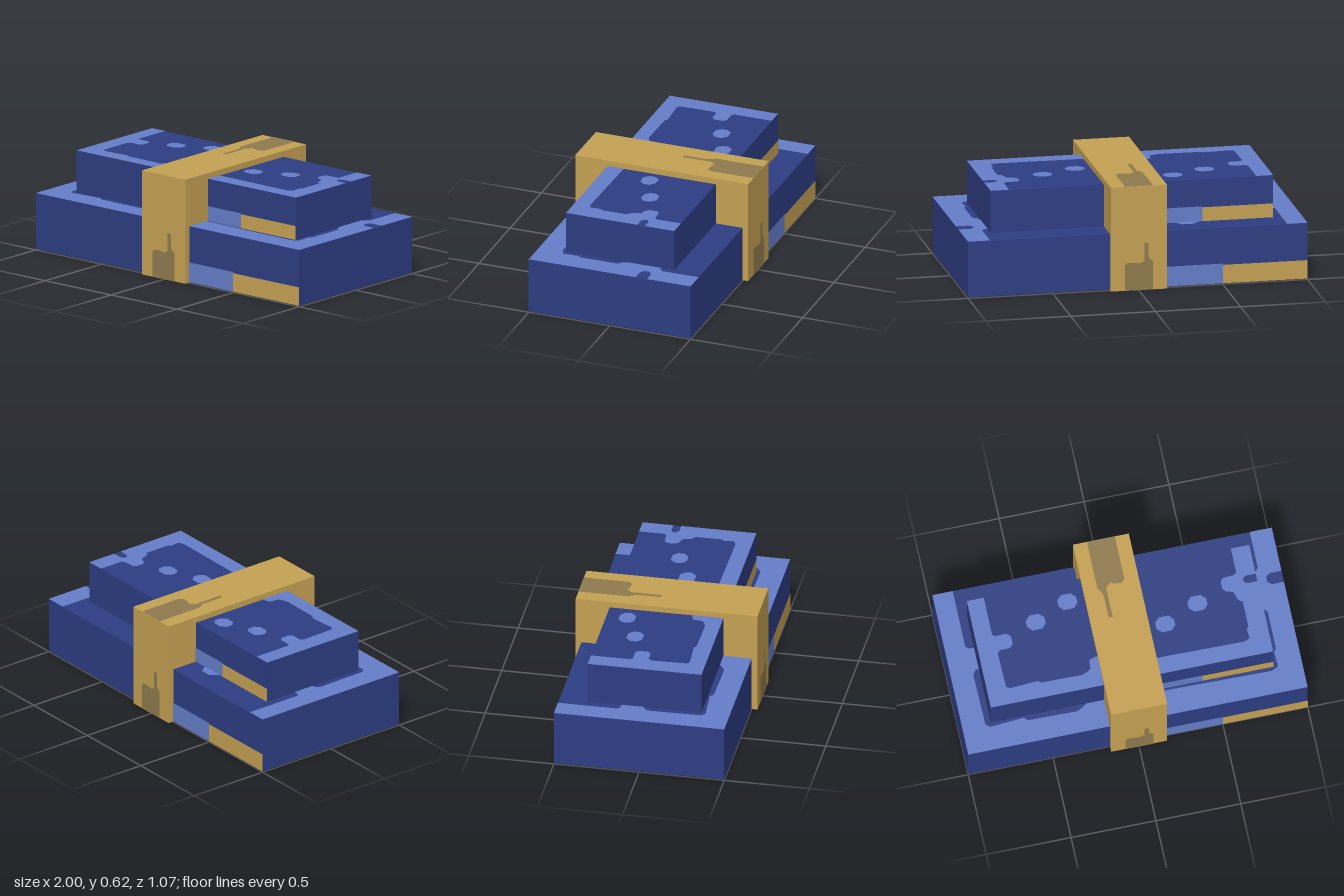
import * as THREE from 'three';

const mat = (name, color) => {
  const m = new THREE.MeshStandardMaterial({ color });
  m.name = name;
  return m;
};

// Local x, y and outward normal of each decorated face
const V = (x, y, z) => new THREE.Vector3(x, y, z);
const BASIS = {
  front: [V(1, 0, 0), V(0, 1, 0), V(0, 0, 1)],
  back: [V(-1, 0, 0), V(0, 1, 0), V(0, 0, -1)],
  top: [V(-1, 0, 0), V(0, 0, 1), V(0, 1, 0)],
  bottom: [V(-1, 0, 0), V(0, 0, -1), V(0, -1, 0)],
};

// Flat decoration: points run -1..1 across the face of a block
function decal(name, points, material, face, block) {
  const { w, h, d, y } = block;
  const flat = face === 'top' || face === 'bottom';
  const half = flat ? d / 2 : h / 2;
  const shape = new THREE.Shape(points.map(([u, v]) => new THREE.Vector2(u * w / 2, v * half)));
  const geo = new THREE.ShapeGeometry(shape);
  geo.translate(0, 0, (flat ? h / 2 : d / 2) + 0.002);
  geo.applyMatrix4(new THREE.Matrix4().makeBasis(...BASIS[face]));
  const mesh = new THREE.Mesh(geo, material);
  mesh.name = name;
  mesh.position.y = y + h / 2;
  return mesh;
}

function blockMesh(name, { w, h, d, y }, material) {
  const mesh = new THREE.Mesh(new THREE.BoxGeometry(w, h, d), material);
  mesh.name = name;
  mesh.position.y = y + h / 2;
  return mesh;
}

const rect = (u0, v0, u1, v1) => [[u0, v0], [u1, v0], [u1, v1], [u0, v1]];

// Rounded spot
const spot = (u, v, ru = 0.067, rv = 0.14) =>
  [[-1, -0.4], [-0.5, -1], [0.5, -1], [1, -0.4], [1, 0.4], [0.5, 1], [-0.5, 1], [-1, 0.4]]
    .map(([a, b]) => [u + a * ru, v + b * rv]);

// Uneven border round three sides of a top face, as x, z
const BORDER = [
  [-1, -1], [-0.88, -1], [-0.88, -0.3], [-0.86, -0.27], [-0.78, -0.27], [-0.755, -0.21],
  [-0.755, -0.06], [-0.78, 0], [-0.85, 0], [-0.87, 0.05], [-0.865, 0.68], [-0.84, 0.72],
  [-0.64, 0.69], [-0.62, 0.73], [-0.33, 0.74], [-0.29, 0.7], [-0.265, 0.66], [-0.26, 0.5],
  [-0.22, 0.46], [0, 0.46], [0, 0.7], [0.2, 0.7], [0.82, 0.72], [0.86, 0.68],
  [0.855, 0.5], [0.87, 0.46], [0.87, 0], [0.84, -0.05], [0.82, -0.21], [0.77, -0.25],
  [0.75, -0.31], [0.75, -0.44], [0.77, -0.5], [0.85, -0.51], [0.87, -0.55], [0.87, -1],
  [1, -1], [1, -0.46], [0.93, -0.46], [0.905, -0.42], [0.905, -0.36], [0.93, -0.32],
  [1, -0.32], [1, 1], [-1, 1],
];
const SPOTS = [[-0.565, -0.375], [-0.32, -0.63], [0.31, 0.12], [0.56, -0.135]];

// Stain that climbs from the lower edge of a strap face
const STAIN = [
  [-0.5, -1], [0.5, -1], [0.5, -0.45], [0.38, -0.4], [0.34, -0.36], [0.34, -0.1],
  [0.19, -0.1], [0.19, -0.44], [0.02, -0.49], [-0.1, -0.47], [-0.38, -0.46], [-0.5, -0.5],
];

export function createModel() {
  const navy = mat('navy cloth', 0x2d3d82);
  const pale = mat('pale blue cloth', 0x647dc8);
  const tan = mat('tan strap', 0xc4a053);
  const brown = mat('brown stain', 0x8f7a4d);
  const model = new THREE.Group();
  model.name = 'strappedBundle';

  // Two stacked folded blankets
  const blankets = [
    ['lowerBlanket', { w: 2, h: 0.331, d: 1, y: 0.004 }],
    ['upperBlanket', { w: 1.664, h: 0.25, d: 0.668, y: 0.335 }],
  ];
  for (const [name, block] of blankets) {
    const g = new THREE.Group();
    g.name = name;
    g.add(blockMesh('blanketBody', block, navy));
    const onTop = (pts) => pts.map(([x, z]) => [-x, z]);
    g.add(decal('topBorder', onTop(BORDER), pale, 'top', block));
    SPOTS.forEach(([x, z]) => g.add(decal('topSpot', onTop(spot(x, z)), pale, 'top', block)));
    const faces = name === 'lowerBlanket' ? ['front', 'back', 'bottom'] : ['front', 'back'];
    for (const face of faces) {
      g.add(decal('paleStripe', rect(0, -1, 0.5, -0.29), pale, face, block));
      g.add(decal('tanStripe', rect(0.5, -1, 1, -0.335), tan, face, block));
    }
    model.add(g);
  }

  // Strap round the middle
  const band = { w: 0.33, h: 0.62, d: 1.068, y: 0 };
  const strap = new THREE.Group();
  strap.name = 'strap';
  strap.add(blockMesh('strapBody', band, tan));
  for (const face of Object.keys(BASIS)) strap.add(decal('strapStain', STAIN, brown, face, band));
  model.add(strap);

  return model;
}
